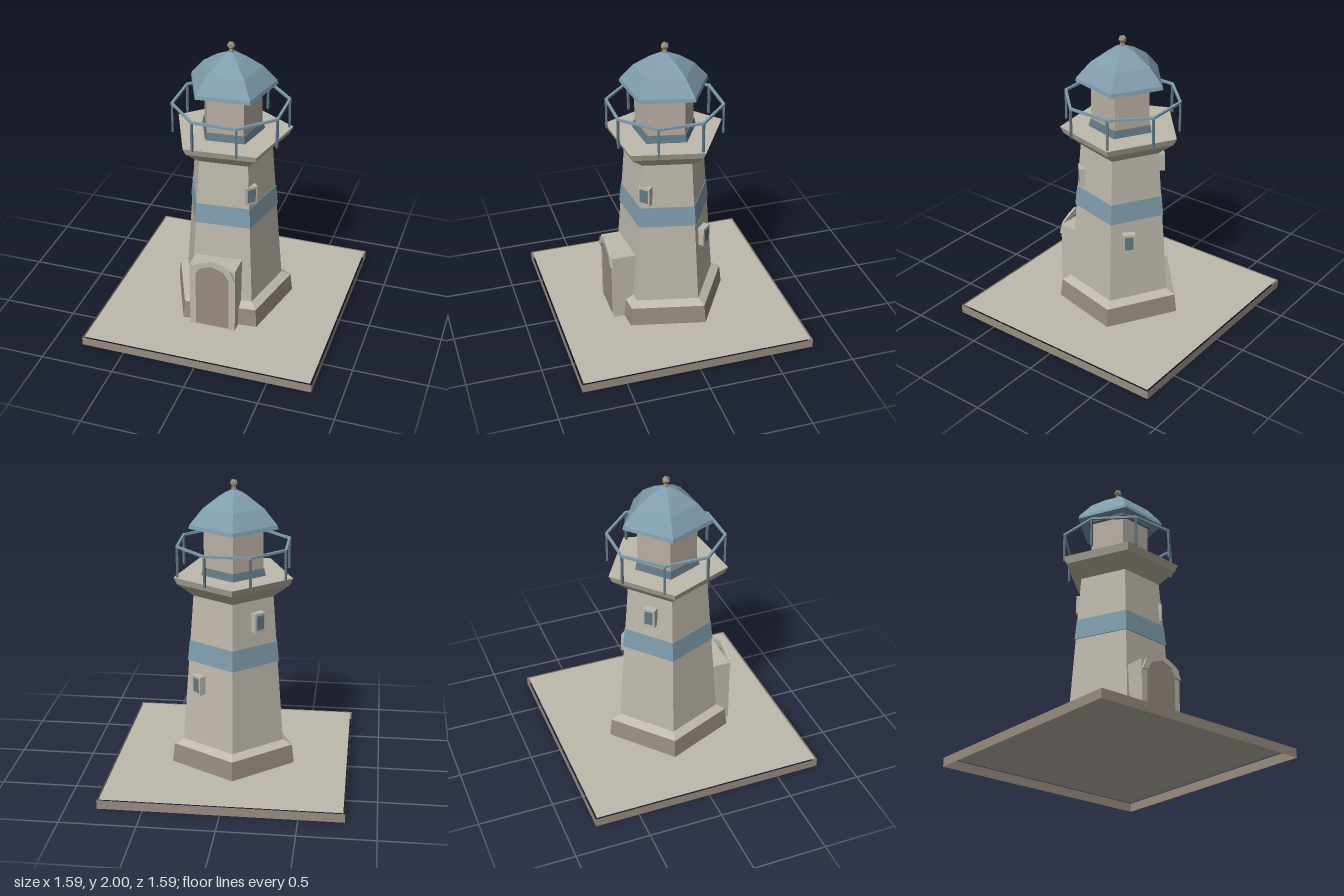
import * as THREE from 'three';

const rad = THREE.MathUtils.degToRad;
const SIDES = 5, TURN = rad(-31);

function mat(name, color, extra = {}) {
  const m = new THREE.MeshStandardMaterial({ color, flatShading: true, ...extra });
  m.name = name;
  return m;
}

export function createModel() {
  const root = new THREE.Group();
  root.name = 'lighthouse';
  const stone = mat('stone', 0xbfb9ac, { side: THREE.DoubleSide });
  const brown = mat('brownStone', 0x998c81, { side: THREE.DoubleSide });
  const lanternMat = mat('lanternWall', 0xb9afa3);
  const blue = mat('bluePaint', 0x809dad);
  const darkBlue = mat('darkBluePaint', 0x627985);

  const add = (name, geo, material, parent = root) => {
    const m = new THREE.Mesh(geo, material);
    m.name = name;
    parent.add(m);
    return m;
  };
  // five-sided turned part; profile of [radius, height] from bottom to top
  const turned = (name, profile, material) => add(name,
    new THREE.LatheGeometry(profile.map(p => new THREE.Vector2(...p)), SIDES, TURN), material);

  // ground slab: a top plate inside a separate rim, open below
  const plate = add('slabTop', new THREE.PlaneGeometry(1.57, 1.57), stone);
  plate.rotation.x = -Math.PI / 2;
  plate.position.y = 0.06;
  for (let i = 0; i < 4; i++) {
    const a = i * Math.PI / 2;
    const rim = add('slabRim', new THREE.PlaneGeometry(1.594, 0.06), brown);
    rim.position.set(Math.sin(a) * 0.797, 0.03, Math.cos(a) * 0.797);
    rim.rotation.y = a;
  }

  // tower
  turned('base', [[0.435, 0.06], [0.42, 0.19]], brown);
  turned('baseSlope', [[0.42, 0.19], [0.355, 0.22]], stone);
  turned('tower', [[0.355, 0.22], [0.277, 1.24]], stone);
  turned('band', [[0.31, 0.79], [0.32, 0.79], [0.305, 0.93], [0.295, 0.93]], blue);
  turned('galleryCorbel', [[0.277, 1.24], [0.387, 1.328]], stone);
  turned('galleryDeck', [[0.387, 1.328], [0.41, 1.375], [0, 1.375]], stone);

  // lantern room and roof
  turned('lanternFoot', [[0.223, 1.375], [0.21, 1.425], [0.19, 1.425]], darkBlue);
  turned('lantern', [[0.204, 1.42], [0.204, 1.68]], lanternMat);
  turned('lanternCornice', [[0.2, 1.675], [0.226, 1.68], [0.226, 1.7]], darkBlue);
  turned('roof', [[0.2, 1.695], [0.305, 1.695], [0.299, 1.72], [0.207, 1.825],
    [0.1, 1.897], [0.02, 1.932], [0, 1.932]], blue);
  turned('finialNeck', [[0.022, 1.92], [0.014, 1.955]], brown);
  add('finialBall', new THREE.IcosahedronGeometry(0.028, 0), brown).position.y = 1.976;

  // octagonal railing
  const railing = new THREE.Group();
  railing.name = 'railing';
  root.add(railing);
  const R = 0.383, apothem = R * Math.cos(Math.PI / 8), side = 2 * R * Math.sin(Math.PI / 8);
  for (let i = 0; i < 8; i++) {
    const a = i * Math.PI / 4, p = a + Math.PI / 8;
    const bar = add('railBar', new THREE.BoxGeometry(side + 0.006, 0.015, 0.016), blue, railing);
    bar.position.set(Math.sin(a) * apothem, 1.58, Math.cos(a) * apothem);
    bar.rotation.y = a;
    const post = add('railPost', new THREE.BoxGeometry(0.014, 0.2, 0.014), darkBlue, railing);
    post.position.set(Math.sin(p) * R, 1.475, Math.cos(p) * R);
    post.rotation.y = p;
  }

  // porch, arched door and hood
  const porch = add('porch', new THREE.BoxGeometry(0.318, 0.48, 0.213), stone);
  porch.position.set(0, 0.3, 0.3065);
  const poly = pts => new THREE.Shape(pts.map(p => new THREE.Vector2(...p)));
  const arch = [[-0.116, 0.475], [-0.085, 0.53], [0, 0.562], [0.085, 0.53], [0.116, 0.475]];
  const door = add('door', new THREE.ExtrudeGeometry(
    poly([[0.116, 0.07], [-0.116, 0.07], ...arch]), { depth: 0.006, bevelEnabled: false }), brown);
  door.position.z = 0.411;
  const hood = add('doorHood', new THREE.ExtrudeGeometry(
    poly([...arch, [0.16, 0.47], [0.13, 0.545], [0.065, 0.58], [0, 0.603],
      [-0.065, 0.58], [-0.13, 0.545], [-0.16, 0.47]]),
    { depth: 0.016, bevelEnabled: false }), stone);
  hood.position.z = 0.412;

  // windows: angle around the tower, centre height, centre distance
  for (const [deg, y, dist] of [[45, 1.023, 0.272], [135, 0.652, 0.297], [225, 1.1, 0.257]]) {
    const win = new THREE.Group();
    win.name = 'window';
    win.rotation.y = rad(deg);
    win.position.set(Math.sin(rad(deg)) * dist, y, Math.cos(rad(deg)) * dist);
    root.add(win);
    add('windowFrame', new THREE.BoxGeometry(0.086, 0.128, 0.044), stone, win);
    add('windowPane', new THREE.BoxGeometry(0.056, 0.095, 0.004), darkBlue, win).position.z = 0.023;
  }
  return root;
}
